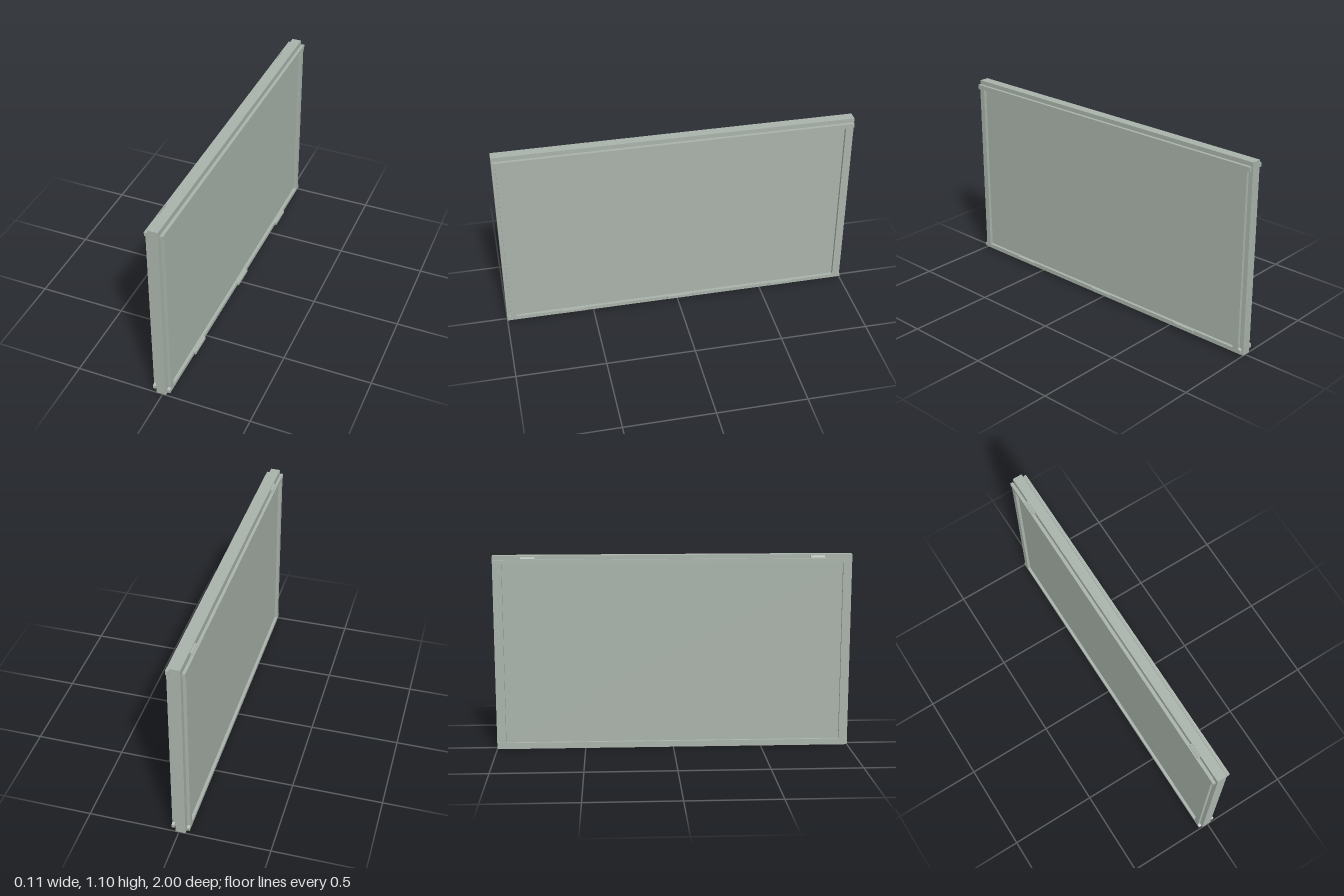
import * as THREE from 'three';

const paint = new THREE.MeshStandardMaterial({ color: 0xa9b3ab });
paint.name = 'grey green paint';

function add(group, name, geometry) {
  const mesh = new THREE.Mesh(geometry, paint);
  mesh.name = name;
  group.add(mesh);
  return mesh;
}

// box given by its limits on each axis
function box(group, name, [x0, x1], [y0, y1], [z0, z1]) {
  const mesh = add(group, name, new THREE.BoxGeometry(x1 - x0, y1 - y0, z1 - z0));
  mesh.position.set((x0 + x1) / 2, (y0 + y1) / 2, (z0 + z1) / 2);
}

// picture-frame rim with wider rails at top and bottom, extruded along x
function rimGeometry(depth) {
  const half = [[0.995, 0.019], [0.995, 0.038], [0.98, 0.046], [0.98, 1.048], [0.995, 1.056], [0.995, 1.079]];
  const mirrored = half.map(([z, y]) => [-z, y]).reverse();
  const shape = new THREE.Shape([...half, ...mirrored].map(([z, y]) => new THREE.Vector2(z, y)));
  const hole = [[-0.947, 0.041], [-0.947, 1.055], [0.947, 1.055], [0.947, 0.041]];
  shape.holes.push(new THREE.Path(hole.map(([z, y]) => new THREE.Vector2(z, y))));
  return new THREE.ExtrudeGeometry(shape, { depth, bevelEnabled: false }).rotateY(Math.PI / 2);
}

export function createModel() {
  const model = new THREE.Group();
  model.name = 'panel';

  // thick core slab
  box(model, 'coreSlab', [-0.036, 0.019], [0, 1.1], [-1, 1]);

  // recessed sheet and raised rim on each face
  box(model, 'leftSheet', [0.018, 0.025], [0.04, 1.059], [-0.965, 0.965]);
  box(model, 'rightSheet', [-0.042, -0.035], [0.04, 1.059], [-0.965, 0.965]);
  add(model, 'leftRim', rimGeometry(0.017)).position.x = 0.025;
  add(model, 'rightRim', rimGeometry(0.016)).position.x = -0.058;

  // three tabs along the lower rail
  for (const z of [-0.62, 0, 0.62]) {
    box(model, 'lowerTab', [0.041, 0.055], [0.029, 0.046], [z - 0.067, z + 0.067]);
  }

  // two chamfered latches on the upper rail
  const profile = new THREE.Shape([
    [-0.05, 1.057], [-0.035, 1.057], [-0.035, 1.094], [-0.041, 1.092], [-0.05, 1.083],
  ].map(([x, y]) => new THREE.Vector2(x, y)));
  for (const z of [-0.805, 0.805]) {
    const latch = new THREE.ExtrudeGeometry(profile, { depth: 0.08, bevelEnabled: false });
    add(model, 'upperLatch', latch).position.z = z - 0.04;
  }

  return model;
}
